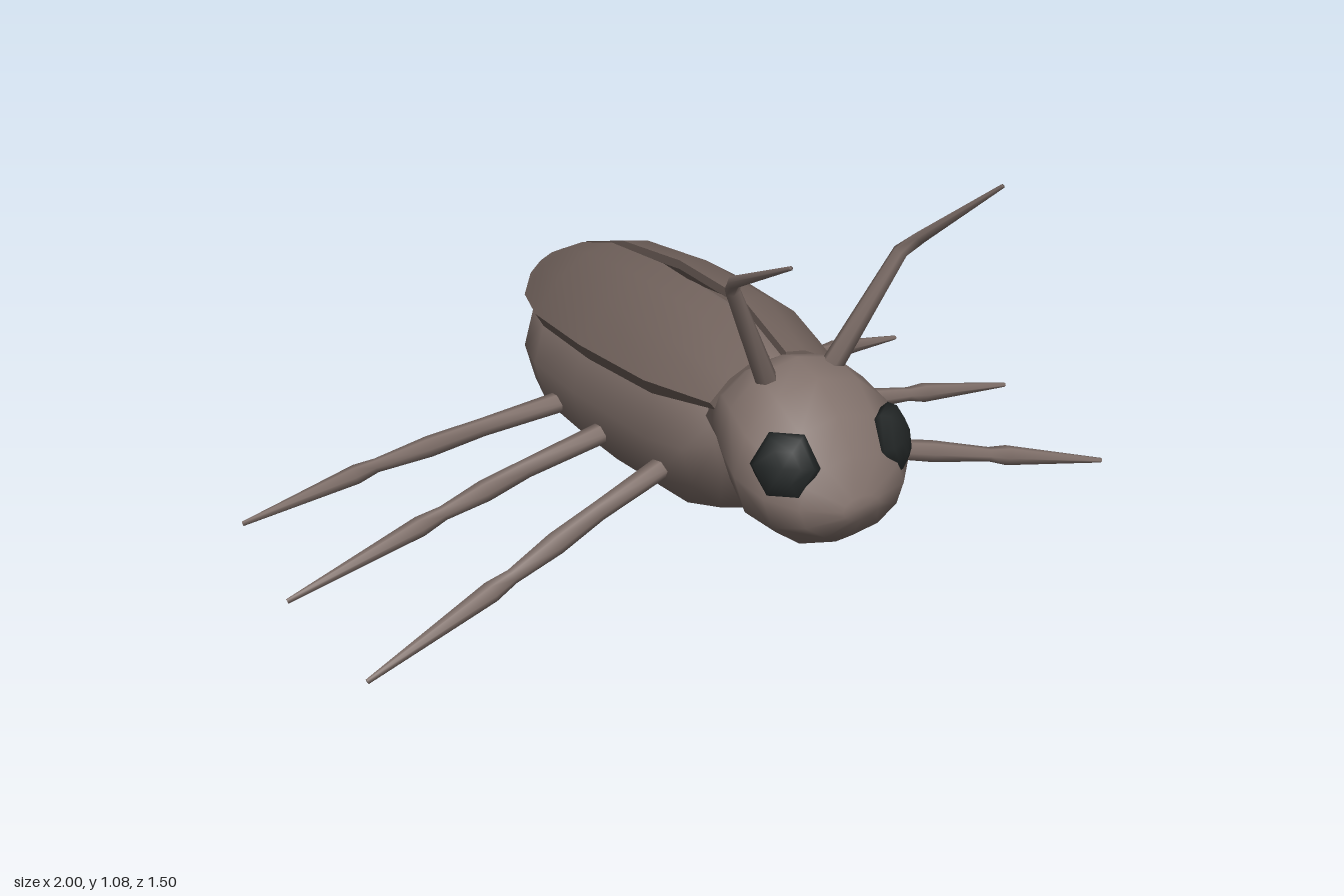
import * as THREE from 'three';
import { toCreasedNormals } from 'three/addons/utils/BufferGeometryUtils.js';

const V = (x, y, z) => new THREE.Vector3(x, y, z);
const CX = -0.02; // body axis

const shellMat = new THREE.MeshStandardMaterial({ color: 0x70615b });
const bodyMat = new THREE.MeshStandardMaterial({ color: 0x80706a });
const eyeMat = new THREE.MeshStandardMaterial({ color: 0x222626 });

// Closed skin through equal-length rings of points, capped at both ends
function loft(rings) {
  const n = rings[0].length, pos = [], idx = [];
  rings.forEach(r => r.forEach(p => pos.push(p.x, p.y, p.z)));
  for (let i = 0; i < rings.length - 1; i++) {
    for (let j = 0; j < n; j++) {
      const a = i * n + j, b = i * n + (j + 1) % n;
      idx.push(a, b, a + n, b, b + n, a + n);
    }
  }
  [0, rings.length - 1].forEach(i => {
    const c = V(0, 0, 0);
    rings[i].forEach(p => c.addScaledVector(p, 1 / n));
    const ci = pos.length / 3;
    pos.push(c.x, c.y, c.z);
    for (let j = 0; j < n; j++) {
      const a = i * n + j, b = i * n + (j + 1) % n;
      if (i === 0) idx.push(ci, b, a); else idx.push(ci, a, b);
    }
  });
  // Turn the faces outward: the enclosed volume must be positive
  const at = k => V(pos[3 * k], pos[3 * k + 1], pos[3 * k + 2]);
  let volume = 0;
  for (let k = 0; k < idx.length; k += 3) {
    volume += at(idx[k]).dot(at(idx[k + 1]).cross(at(idx[k + 2])));
  }
  if (volume < 0) idx.reverse();
  const g = new THREE.BufferGeometry();
  g.setAttribute('position', new THREE.Float32BufferAttribute(pos, 3));
  g.setIndex(idx);
  g.computeVertexNormals();
  return g;
}

// Oval rings along z from rows of [z, bottom, top, half width]
function ovalLoft(rows, sides) {
  return loft(rows.map(([z, bottom, top, rx]) => Array.from({ length: sides }, (_, j) => {
    const a = (j / sides) * Math.PI * 2;
    return V(CX + rx * Math.sin(a), (top + bottom) / 2 + (top - bottom) / 2 * Math.cos(a), z);
  })));
}

// Tapered six-sided limb along a bent path
function limb(points, radii) {
  return loft(points.map((p, i) => {
    const t = points[Math.min(i + 1, points.length - 1)].clone()
      .sub(points[Math.max(i - 1, 0)]).normalize();
    const side = t.clone().cross(V(0, 1, 0)).normalize();
    const up = side.clone().cross(t);
    return Array.from({ length: 6 }, (_, j) => {
      const a = (j / 6) * Math.PI * 2;
      return p.clone().addScaledVector(side, radii[i] * Math.cos(a))
        .addScaledVector(up, radii[i] * Math.sin(a));
    });
  }));
}

// Curved wing case; s is the side, rows are [z, inner x, outer x, top, bottom]
function wingCase(s) {
  const profile = [[0, 1], [0.32, 0.93], [0.68, 0.66], [1, 0.2], [0.9, 0]];
  const rows = [
    [0.28, 0.022, 0.18, 0.62, 0.52],
    [0.09, 0.025, 0.24, 0.69, 0.505],
    [-0.18, 0.022, 0.255, 0.70, 0.50],
    [-0.44, 0.015, 0.235, 0.675, 0.495],
    [-0.61, 0.007, 0.175, 0.625, 0.49],
    [-0.68, 0.03, 0.12, 0.59, 0.53],
  ];
  const rings = rows.map(([z, xi, xo, yt, yb]) => {
    const outer = profile.map(([u, v]) => V(CX + s * (xi + (xo - xi) * u), yb + (yt - yb) * v, z));
    const inner = profile.map(([u, v]) =>
      V(CX + s * (xi + (xo - xi - 0.02) * u), yb + (yt - yb - 0.022) * v, z)).reverse();
    return [...outer, ...inner];
  });
  return toCreasedNormals(loft(rings), 0.8);
}

export function createModel() {
  const model = new THREE.Group();
  const add = (name, geometry, material) => {
    const mesh = new THREE.Mesh(geometry, material);
    mesh.name = name;
    model.add(mesh);
    return mesh;
  };

  // Abdomen and head
  add('abdomen', ovalLoft([
    [0.31, 0.36, 0.52, 0.1], [0.28, 0.29, 0.58, 0.17], [0.2, 0.205, 0.6, 0.205],
    [0.08, 0.17, 0.62, 0.235], [-0.25, 0.155, 0.63, 0.24], [-0.45, 0.175, 0.62, 0.235],
    [-0.55, 0.215, 0.6, 0.21], [-0.63, 0.28, 0.54, 0.15], [-0.66, 0.36, 0.46, 0.06],
  ], 12), bodyMat);
  add('head', ovalLoft([
    [0.22, 0.4, 0.58, 0.16], [0.3, 0.37, 0.625, 0.185], [0.36, 0.3, 0.64, 0.205],
    [0.44, 0.245, 0.615, 0.218], [0.52, 0.25, 0.555, 0.195], [0.58, 0.29, 0.48, 0.14],
    [0.617, 0.345, 0.4, 0.05],
  ], 12), bodyMat);

  // Wing cases and eyes
  for (const s of [1, -1]) {
    const label = s > 0 ? 'left' : 'right';
    add(label + 'WingCase', wingCase(s), shellMat);
    const eye = add(label + 'Eye', new THREE.SphereGeometry(1, 6, 6).rotateX(Math.PI / 2), eyeMat);
    eye.scale.set(0.078, 0.083, 0.04);
    eye.position.set(CX + s * 0.142, 0.472, 0.527);
    eye.lookAt(eye.position.clone().add(V(s * 0.65, 0.25, 0.7)));
  }

  // Antennae: base, bend, tip
  const antennae = {
    leftAntenna: [V(0.07, 0.61, 0.37), V(0.2, 0.87, 0.435), V(0.225, 0.91, 0.475), V(0.27, 1.08, 0.695)],
    rightAntenna: [V(-0.11, 0.61, 0.37), V(-0.24, 0.865, 0.435), V(-0.262, 0.9, 0.475), V(-0.3, 1.02, 0.745)],
  };
  for (const name in antennae) add(name, limb(antennae[name], [0.026, 0.018, 0.015, 0.005]), bodyMat);

  // Legs: hip, knee, ankle, tip
  const legs = {
    leftFrontLeg: [V(0.13, 0.32, 0.06), V(0.31, 0.28, 0.2), V(0.62, 0.21, 0.255), V(0.95, 0.13, 0.295)],
    leftMiddleLeg: [V(0.13, 0.32, -0.17), V(0.35, 0.28, -0.09), V(0.65, 0.23, -0.12), V(1, 0.165, -0.16)],
    leftBackLeg: [V(0.13, 0.32, -0.38), V(0.36, 0.285, -0.365), V(0.64, 0.225, -0.49), V(0.97, 0.155, -0.615)],
    rightFrontLeg: [V(-0.16, 0.34, 0.095), V(-0.4, 0.26, 0.12), V(-0.63, 0.16, 0.13), V(-1, 0.008, 0.143)],
    rightMiddleLeg: [V(-0.16, 0.34, -0.14), V(-0.42, 0.25, -0.195), V(-0.62, 0.165, -0.24), V(-1, 0.008, -0.303)],
    rightBackLeg: [V(-0.16, 0.34, -0.34), V(-0.4, 0.255, -0.46), V(-0.63, 0.155, -0.595), V(-0.93, 0.008, -0.75)],
  };
  for (const name in legs) {
    const [hip, knee, ankle, tip] = legs[name];
    const path = [hip, knee, knee.clone().lerp(ankle, 0.5), ankle, ankle.clone().lerp(tip, 0.15), tip];
    add(name, limb(path, [0.028, 0.023, 0.027, 0.018, 0.025, 0.006]), bodyMat);
  }
  return model;
}
